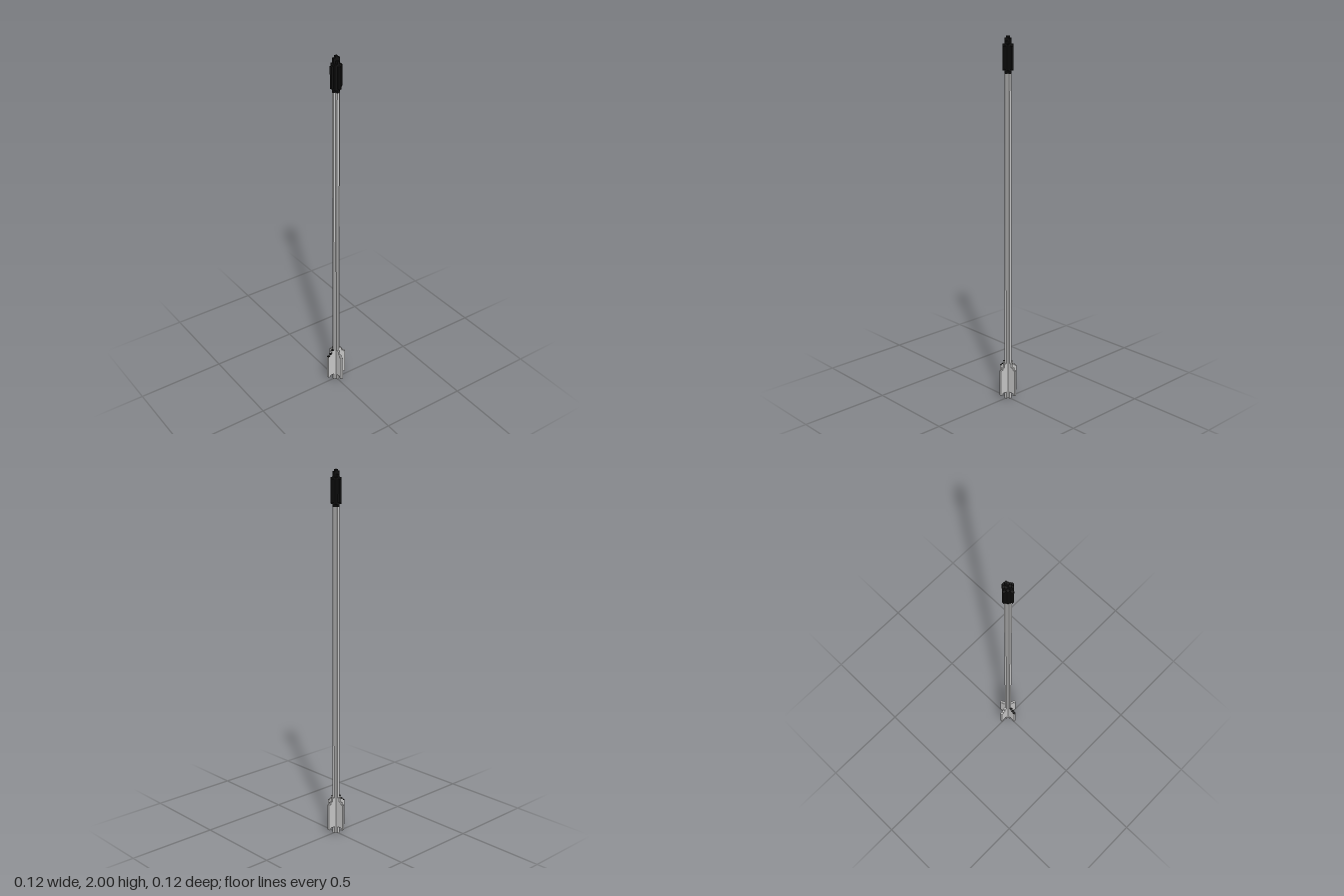
import * as THREE from 'three';

const U = 0.013; // thickness of one block
const H = U / 2;

export function createModel() {
  const model = new THREE.Group();
  const grey = new THREE.MeshStandardMaterial({ color: 0xcccccc, flatShading: true });
  const black = new THREE.MeshStandardMaterial({ color: 0x111111, flatShading: true });

  // box given by its x, y and z ranges
  function box(parent, name, mat, [x0, x1], [y0, y1], [z0, z1]) {
    const mesh = new THREE.Mesh(new THREE.BoxGeometry(x1 - x0, y1 - y0, z1 - z0), mat);
    mesh.position.set((x0 + x1) / 2, (y0 + y1) / 2, (z0 + z1) / 2);
    mesh.name = name;
    parent.add(mesh);
  }
  function group(name, turn = 0) {
    const g = new THREE.Group();
    g.name = name;
    g.rotation.y = turn * Math.PI / 2;
    model.add(g);
    return g;
  }

  // shaft with a plus-shaped section
  const shaft = group('shaft');
  box(shaft, 'shaftCore', grey, [-H, H], [0, 1.81], [-H, H]);
  for (let i = 0; i < 4; i++) {
    box(group('shaftSide', i), 'shaftRib', grey, [H, 3 * H], [0, 1.81], [-H, H]);
  }

  // four stepped fins; the one on the right has dark top steps
  const steps = [[0.04, 0.213], [0.04, 0.192], [0.03, 0.18]];
  for (let i = 0; i < 4; i++) {
    const fin = group('fin', i);
    steps.forEach(([low, high], k) => {
      const span = [(3 + 2 * k) * H, (5 + 2 * k) * H];
      box(fin, 'finStep', grey, span, [low, high], [-H, H]);
      if (i === 2) box(fin, 'finTopEdge', black, span, [high, high + 0.002], [-H, H]);
    });
  }

  // dark head: square core, four long ribs and a stepped tip
  const head = group('head');
  box(head, 'headCore', black, [-3 * H, 3 * H], [1.825, 1.96], [-3 * H, 3 * H]);
  box(head, 'headPoint', black, [-H, H], [1.81, 2], [-H, H]);
  for (let i = 0; i < 4; i++) {
    const side = group('headSide', i);
    box(side, 'tipRib', black, [H, 3 * H], [1.81, i % 2 ? 1.975 : 1.99], [-H, H]);
    box(side, 'headRib', black, [3 * H, 5 * H], [1.833, 1.95], [-H, H]);
  }
  return model;
}
